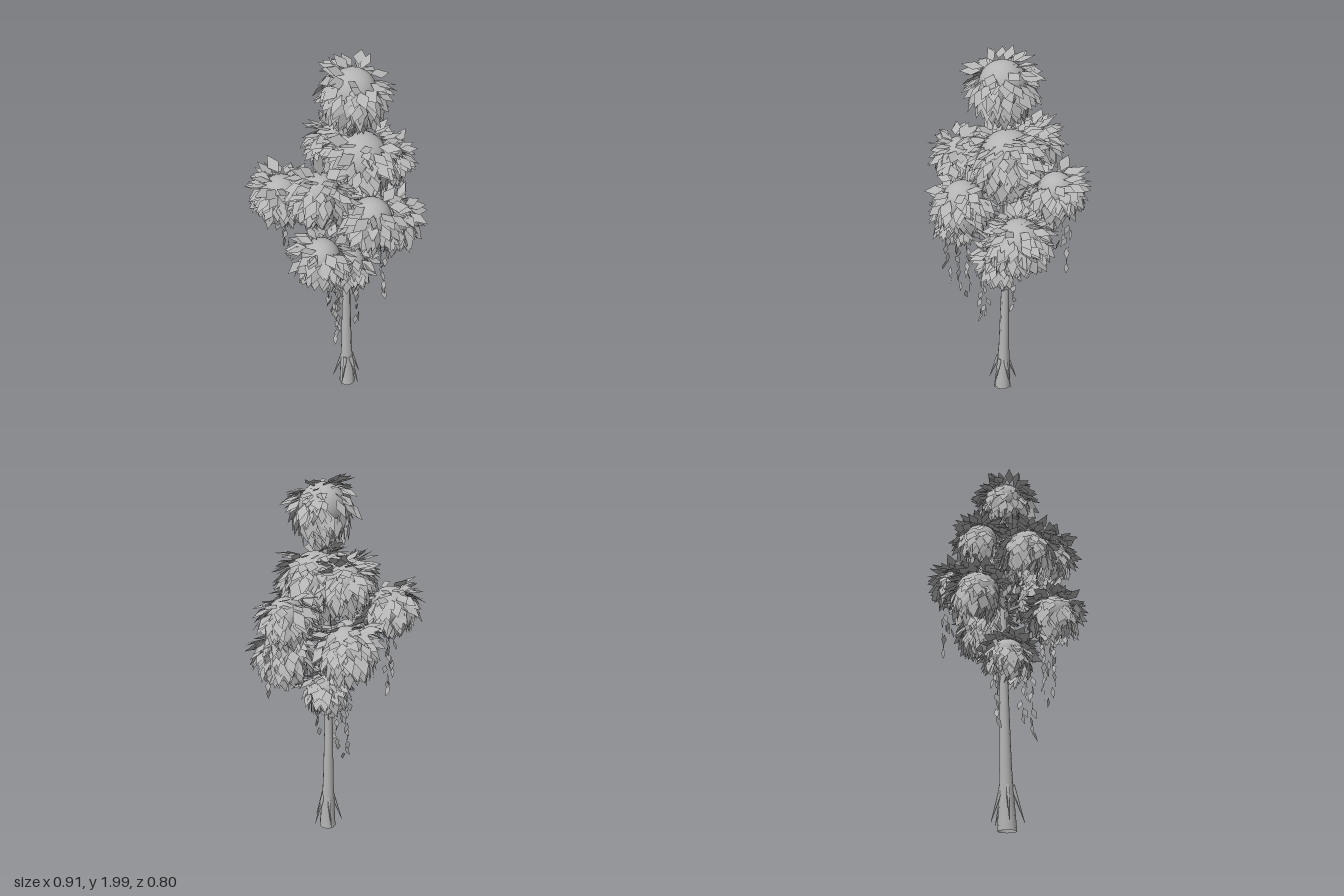
import * as THREE from 'three';

const grey = new THREE.MeshStandardMaterial({ color: 0xb4b4b4, side: THREE.DoubleSide });
grey.name = 'pale grey';

// Small seeded random generator
let seed = 7;
function rand() {
  seed = (seed * 16807) % 2147483647;
  return seed / 2147483647;
}
const spread = (a) => (rand() * 2 - 1) * a;

// Leaf clumps: x, y, z, core radius, height where leaves start (1 is the very top)
const clumps = [
  [-0.01, 1.83, 0.01, 0.115, 0.87],
  [0.03, 1.48, 0.02, 0.14, 0.93],
  [0.04, 1.5, -0.17, 0.09, 1],
  [-0.26, 1.42, 0.03, 0.1, 1],
  [-0.27, 1.32, -0.22, 0.1, 0.87],
  [0.285, 1.37, -0.02, 0.09, 0.85],
  [-0.1, 1.29, 0.21, 0.1, 0.87],
  [0.04, 1.17, -0.19, 0.115, 0.9],
  [-0.28, 1.08, 0.05, 0.095, 0.87],
  [0.17, 1.11, 0.11, 0.115, 0.97],
  [-0.03, 0.88, 0.0, 0.09, 0.9],
];

// Hanging vines: x, z, top, bottom
const vines = [
  [0.38, 0.01, 1.24, 0.97], [0.34, 0.0, 1.26, 1.08],
  [-0.12, 0.31, 1.2, 0.86], [-0.08, 0.29, 1.2, 1.0],
  [-0.2, -0.28, 1.24, 0.86], [-0.24, -0.24, 1.2, 0.95],
  [-0.03, -0.13, 0.98, 0.47], [-0.24, 0.11, 1.0, 0.66],
  [-0.2, 0.08, 1.0, 0.6], [-0.07, 0.09, 0.9, 0.54], [-0.15, 0.02, 0.98, 0.42],
];

function meshOf(name, geometry) {
  const mesh = new THREE.Mesh(geometry, grey);
  mesh.name = name;
  return mesh;
}

// Adds one kite-shaped leaf, facing the given normal
function addLeaf(points, base, dir, normal, length, width) {
  const side = new THREE.Vector3().crossVectors(normal, dir).normalize().multiplyScalar(width / 2);
  const mid = base.clone().addScaledVector(dir, length * 0.45);
  const tip = base.clone().addScaledVector(dir, length);
  const a = mid.clone().add(side);
  const b = mid.clone().sub(side);
  for (const p of [base, b, tip, base, tip, a]) points.push(p.x, p.y, p.z);
}

function leafGeometry(points) {
  const geometry = new THREE.BufferGeometry();
  geometry.setAttribute('position', new THREE.Float32BufferAttribute(points, 3));
  geometry.computeVertexNormals();
  return geometry;
}

// Round core with ragged leaves, lifted near the crown and drooping below
function makeClump([x, y, z, r, start]) {
  const group = new THREE.Group();
  group.name = 'leafClump';
  group.position.set(x, y, z);
  group.add(meshOf('clumpCore', new THREE.SphereGeometry(r, 24, 16)));

  const points = [];
  const xAxis = new THREE.Vector3(1, 0, 0);
  const count = Math.round(185 * r / 0.11);
  for (let i = 0; i < count; i++) {
    const t = (i + 0.5) / count;
    const polar = Math.acos(start - (start + 0.88) * t);
    const turn = i * 2.39996 + spread(0.5);
    const s = Math.sin(polar), c = Math.cos(polar);
    const out = new THREE.Vector3(s * Math.cos(turn), c, s * Math.sin(turn));
    const down = new THREE.Vector3(c * Math.cos(turn), -s, c * Math.sin(turn));
    out.applyAxisAngle(xAxis, 0.35);
    down.applyAxisAngle(xAxis, 0.35);
    const across = new THREE.Vector3().crossVectors(out, down);
    const lift = 0.5 + 0.5 * (1 - t) * (1 - t) + spread(0.3);
    const dir = down.clone().addScaledVector(out, lift).addScaledVector(across, spread(0.45));
    dir.y -= 0.8 * t;
    dir.normalize();
    const base = out.clone().multiplyScalar(r * (1.02 + spread(0.1)));
    const facing = out.clone().addScaledVector(across, spread(0.45));
    addLeaf(points, base, dir, facing, 0.097 + spread(0.018), 0.057 + spread(0.01));
  }
  group.add(meshOf('clumpLeaves', leafGeometry(points)));
  return group;
}

// Sparse chain of leaves hanging below a clump
function makeVine([x, z, top, bottom]) {
  const points = [];
  const count = Math.round((top - bottom) / 0.04);
  for (let i = 0; i < count; i++) {
    const angle = rand() * Math.PI * 2;
    const facing = new THREE.Vector3(Math.cos(angle), 0.1, Math.sin(angle));
    const dir = new THREE.Vector3(spread(0.4), -1, spread(0.4)).normalize();
    const y = THREE.MathUtils.lerp(top, bottom + 0.05, i / (count - 1));
    addLeaf(points, new THREE.Vector3(x + spread(0.015), y, z + spread(0.015)), dir, facing, 0.06, 0.03);
  }
  return meshOf('hangingVine', leafGeometry(points));
}

// Tapered rod between two points
function makeRod(name, from, to, r0, r1, sides) {
  const span = to.clone().sub(from);
  const rod = meshOf(name, new THREE.CylinderGeometry(r1, r0, span.length(), sides));
  rod.position.copy(from).addScaledVector(span, 0.5);
  rod.quaternion.setFromUnitVectors(new THREE.Vector3(0, 1, 0), span.normalize());
  return rod;
}

// Trunk built from rings that taper and lean slightly, open at the foot
function makeTrunk() {
  const rings = [[0, 0.046], [0.12, 0.039], [0.3, 0.03], [0.7, 0.022], [1.2, 0.018], [1.8, 0.012]];
  const geometry = new THREE.LatheGeometry(rings.map(([h, r]) => new THREE.Vector2(r, h)), 12);
  const p = geometry.attributes.position;
  for (let i = 0; i < p.count; i++) {
    const h = p.getY(i);
    p.setX(i, p.getX(i) - 0.03 + h * 0.013);
    p.setZ(i, p.getZ(i) - 0.008 - 0.014 * Math.sin(h * 2));
  }
  geometry.computeVertexNormals();
  return meshOf('trunk', geometry);
}

export function createModel() {
  seed = 7;
  const model = new THREE.Group();
  model.name = 'tree';
  model.add(makeTrunk());

  // Pointed root spurs around the base
  for (let i = 0; i < 5; i++) {
    const a = i * Math.PI * 0.4 + 0.3;
    const at = (r, y) => new THREE.Vector3(-0.03 + r * Math.cos(a), y, -0.008 + r * Math.sin(a));
    model.add(makeRod('rootSpur', at(0.026, 0.21), at(0.083, 0.035), 0.013, 0.001, 5));
  }

  // Clumps, each joined to the trunk by a branch
  for (const clump of clumps) {
    model.add(makeClump(clump));
    const [x, y, z] = clump;
    if (Math.hypot(x, z) > 0.1) {
      const from = new THREE.Vector3(-0.015, y - 0.16, -0.015);
      model.add(makeRod('branch', from, new THREE.Vector3(x, y, z), 0.011, 0.006, 6));
    }
  }

  for (const vine of vines) model.add(makeVine(vine));
  return model;
}
